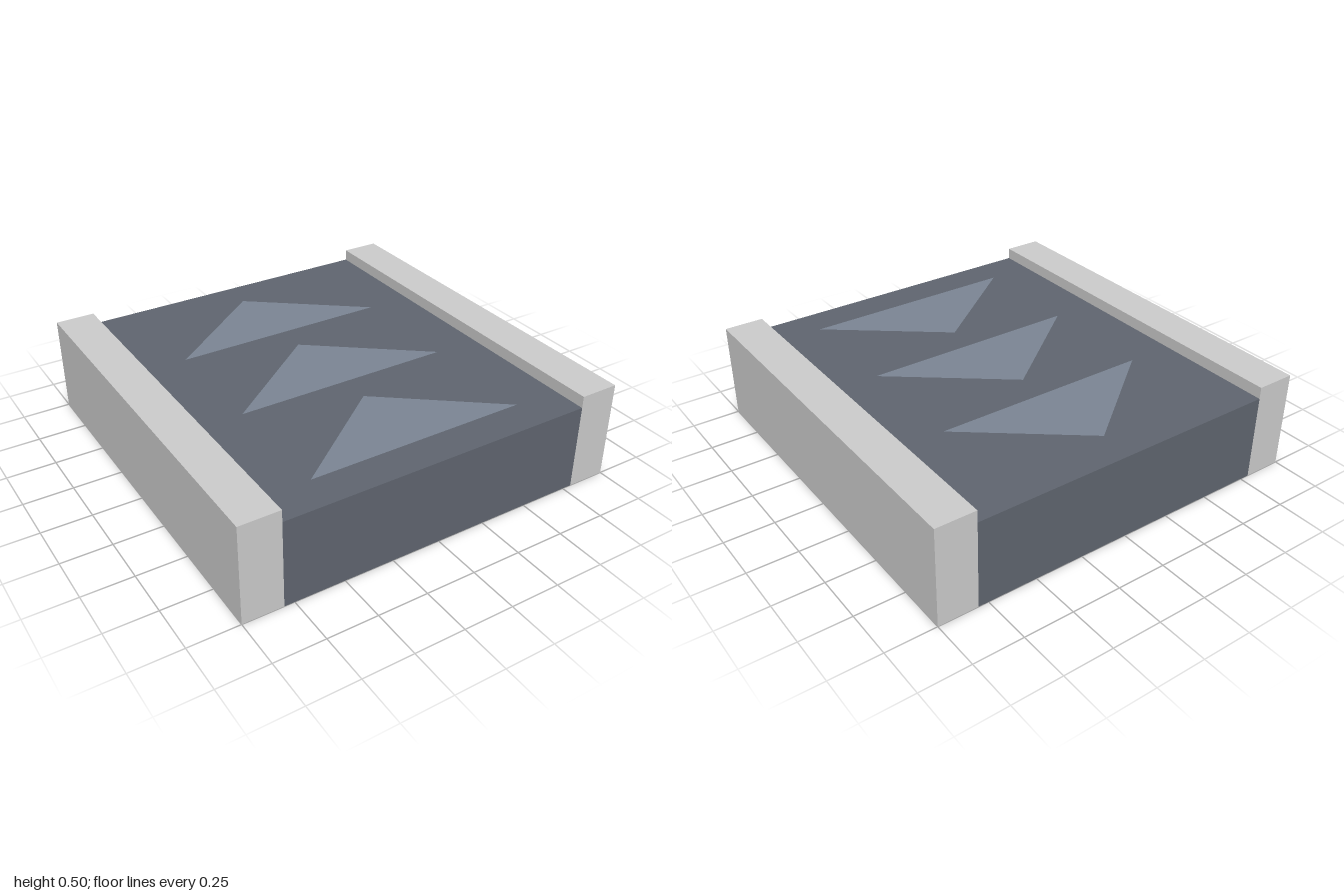
import * as THREE from 'three';

export function createModel() {
  const group = new THREE.Group();
  const railMat = new THREE.MeshStandardMaterial({ color: 0xcccccc });
  const beltMat = new THREE.MeshStandardMaterial({ color: 0x5f656f });
  const arrowMat = new THREE.MeshStandardMaterial({ color: 0x7b8594 });

  const addPart = (name, geometry, material, x, y, z) => {
    const mesh = new THREE.Mesh(geometry, material);
    mesh.name = name;
    mesh.position.set(x, y, z);
    group.add(mesh);
    return mesh;
  };

  // Belt slab between the rails
  addPart('belt', new THREE.BoxGeometry(1.6, 0.44, 2), beltMat, 0, 0.22, 0);

  // Raised side rails
  for (const [name, side] of [['leftRail', 1], ['rightRail', -1]]) {
    addPart(name, new THREE.BoxGeometry(0.2, 0.5, 2), railMat, side * 0.9, 0.25, 0);
  }

  // Flat direction arrows on the belt, pointing to the back
  const arrow = new THREE.Shape([
    new THREE.Vector2(-0.56, -0.22),
    new THREE.Vector2(0.56, -0.22),
    new THREE.Vector2(0, 0.22),
  ]);
  const arrowGeometry = new THREE.ShapeGeometry(arrow).rotateX(-Math.PI / 2);
  [-0.6, 0, 0.6].forEach((z, i) => {
    addPart(`arrow${i + 1}`, arrowGeometry, arrowMat, 0, 0.442, z);
  });

  return group;
}
